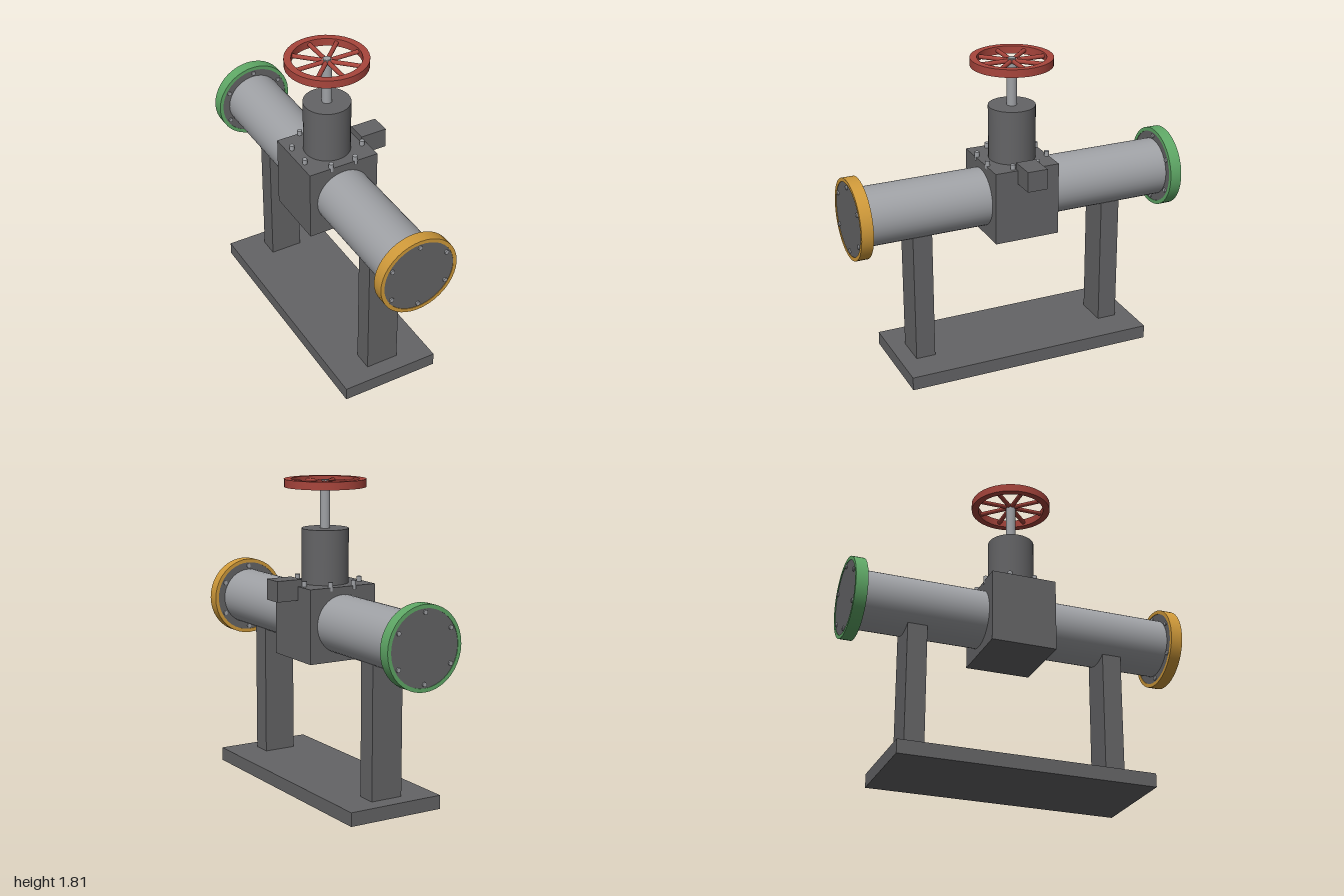
import * as THREE from 'three';

const material = (name, color) => {
  const m = new THREE.MeshStandardMaterial({ color });
  m.name = name;
  return m;
};

export function createModel() {
  const iron = material('dark iron', 0x646466);
  const steel = material('pale steel', 0x9fa1a5);
  const red = material('wheel red', 0xa8453c);
  const amber = material('amber', 0xd09a3a);
  const green = material('green', 0x5fa866);

  const model = new THREE.Group();
  model.name = 'gateValve';
  const X = -0.03; // axis of the valve
  const PIPE_Y = 0.995;

  const add = (name, geometry, mat, x, y, z, parent = model) => {
    const mesh = new THREE.Mesh(geometry, mat);
    mesh.name = name;
    mesh.position.set(x, y, z);
    parent.add(mesh);
    return mesh;
  };
  const box = (w, h, d) => new THREE.BoxGeometry(w, h, d);
  const cylinder = (r, h, n = 32) => new THREE.CylinderGeometry(r, r, h, n);

  // Square-section ring about the y axis, with separate corners for crisp edges
  const ring = (inner, outer, h) => {
    const a = [inner, -h / 2], b = [outer, -h / 2], c = [outer, h / 2], d = [inner, h / 2];
    const points = [a, b, b, c, c, d, d, a].map(p => new THREE.Vector2(...p));
    return new THREE.LatheGeometry(points, 40);
  };

  // Stand
  add('base', box(0.59, 0.08, 1.5), iron, X, 0.04, 0);
  for (const s of [1, -1]) add('supportPost', box(0.196, 0.78, 0.116), iron, X, 0.465, s * 0.595);

  // Pipe and valve body
  add('pipe', cylinder(0.17, 1.9, 40).rotateX(Math.PI / 2), steel, X, PIPE_Y, 0);
  add('body', box(0.434, 0.43, 0.39), iron, X, 0.995, 0);
  add('bonnet', cylinder(0.136, 0.335), iron, X, 1.3575, 0);
  add('stem', cylinder(0.029, 0.28, 24), steel, X, 1.655, 0);
  add('sideBox', box(0.16, 0.12, 0.12), iron, 0.242, 1.19, 0);

  // Bolts around the bonnet
  for (let i = 0; i < 8; i++) {
    const a = (i + 0.5) * Math.PI / 4;
    add('bonnetBolt', cylinder(0.014, 0.05, 12), steel,
      X + 0.2 * Math.cos(a), 1.215, 0.2 * Math.sin(a));
  }

  // End flanges: dark disc, coloured band and six through-bolts
  for (const [name, s, mat] of [['frontFlange', 1, amber], ['rearFlange', -1, green]]) {
    const flange = new THREE.Group();
    flange.name = name;
    flange.position.set(X, PIPE_Y, s * 0.96);
    flange.rotation.x = Math.PI / 2;
    model.add(flange);
    add('flangeDisc', cylinder(0.22, 0.064, 40), iron, 0, 0, 0, flange);
    add('flangeBand', ring(0.214, 0.236, 0.07), mat, 0, 0, 0, flange);
    for (let i = 0; i < 6; i++) {
      const a = (i + 0.5) * Math.PI / 3;
      add('flangeBolt', cylinder(0.013, 0.08, 12), steel,
        0.193 * Math.cos(a), 0, 0.193 * Math.sin(a), flange);
    }
  }

  // Handwheel with eight spokes
  const wheel = new THREE.Group();
  wheel.name = 'handwheel';
  wheel.position.set(X, 1.784, 0);
  model.add(wheel);
  add('rim', ring(0.196, 0.236, 0.046), red, 0, 0, 0, wheel);
  for (let i = 0; i < 4; i++) {
    const spoke = cylinder(0.013, 0.41, 10).rotateZ(Math.PI / 2).rotateY(i * Math.PI / 4);
    add('spokePair', spoke, red, 0, 0, 0, wheel);
  }
  add('stemCap', cylinder(0.022, 0.036, 20), steel, 0, 0, 0, wheel);

  return model;
}
